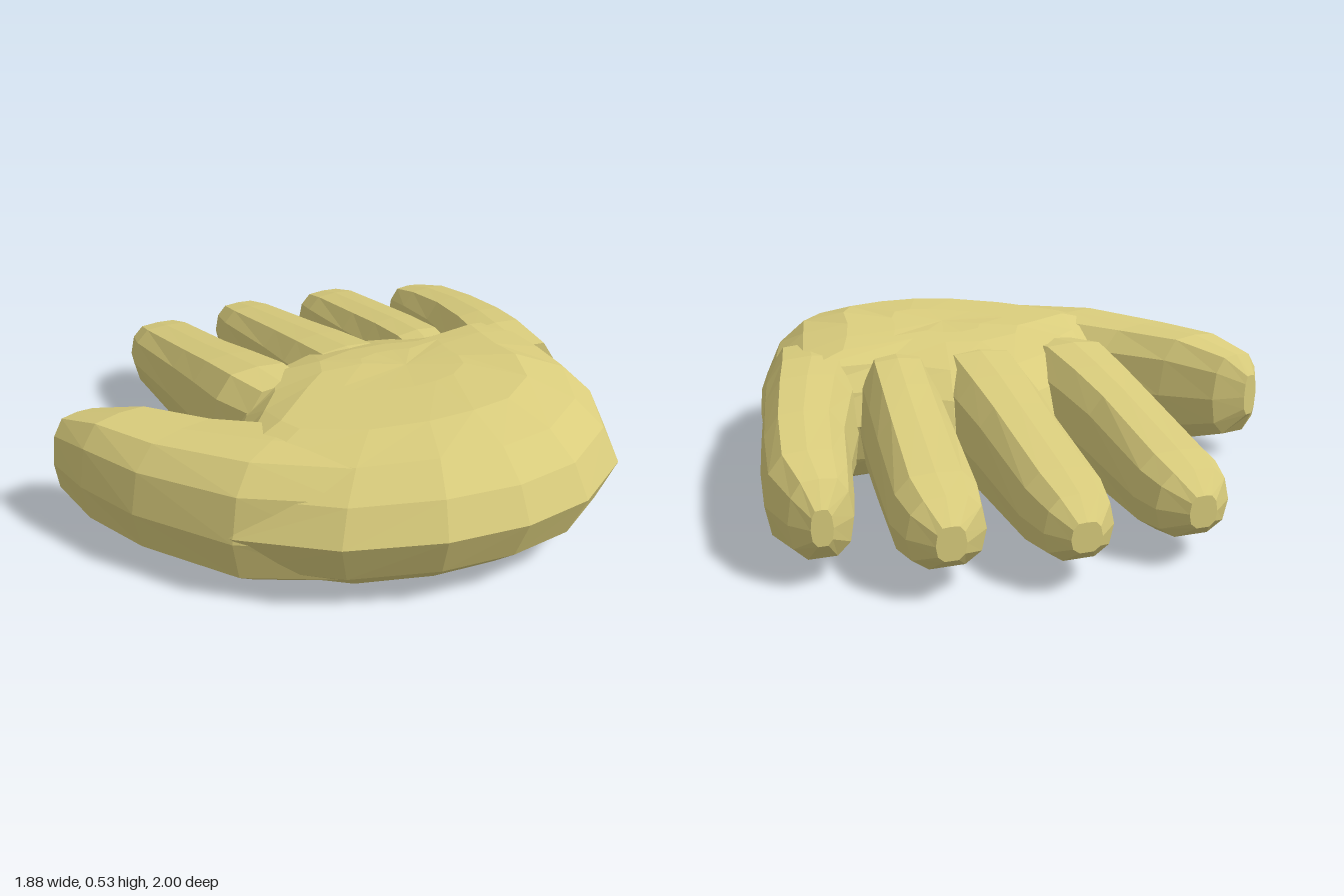
import * as THREE from 'three';

const skin = new THREE.MeshStandardMaterial({ color: 0xd9cc7c, flatShading: true });
skin.name = 'straw yellow';

// piecewise-linear lookup in a list of [position, value]
function lookup(table, p) {
  if (p <= table[0][0]) return table[0][1];
  for (let i = 1; i < table.length; i++) {
    const [p0, v0] = table[i - 1], [p1, v1] = table[i];
    if (p <= p1) return v0 + (v1 - v0) * (p - p0) / (p1 - p0);
  }
  return table[table.length - 1][1];
}

// height of the back of the hand and of its underside
const topLine = [[-1, 0.3], [-0.83, 0.32], [-0.6, 0.36], [-0.3, 0.42], [0, 0.475], [0.2, 0.51], [0.47, 0.54], [0.7, 0.515], [1, 0.49]];
const bottomLine = [[-1, 0.085], [-0.83, 0.08], [-0.4, 0.06], [0, 0.035], [0.4, 0.005], [0.7, 0.015], [1, 0.05]];
const topY = (x, z) => Math.min(lookup(topLine, z), 0.54 - 0.08 * Math.max(0, 0.4 - x));
const bottomY = (z) => lookup(bottomLine, z);

// skin a list of equal-length rings of points and close both ends
function loft(name, rings) {
  const n = rings[0].length, pos = [], index = [];
  rings.forEach((ring) => ring.forEach((p) => pos.push(...p)));
  for (let k = 0; k < rings.length - 1; k++) {
    for (let i = 0; i < n; i++) {
      const j = (i + 1) % n, a = k * n + i, b = k * n + j;
      index.push(a, b, b + n, a, b + n, a + n);
    }
  }
  [0, rings.length - 1].forEach((k) => {
    const centre = [0, 1, 2].map((c) => rings[k].reduce((s, p) => s + p[c], 0) / n);
    const m = pos.length / 3;
    pos.push(...centre);
    for (let i = 0; i < n; i++) {
      const a = k * n + i, b = k * n + (i + 1) % n;
      if (k === 0) index.push(m, b, a);
      else index.push(m, a, b);
    }
  });
  const geometry = new THREE.BufferGeometry();
  geometry.setAttribute('position', new THREE.Float32BufferAttribute(pos, 3));
  geometry.setIndex(index);
  const flat = geometry.toNonIndexed();
  flat.computeVertexNormals();
  const mesh = new THREE.Mesh(flat, skin);
  mesh.name = name;
  return mesh;
}

// rounded finger cross-section between a left and a right edge point
const profile = [[-1, 0.47], [-0.87, 0.8], [-0.55, 0.98], [0, 1], [0.55, 0.98], [0.87, 0.8],
  [1, 0.47], [0.87, 0.16], [0.45, 0], [-0.45, 0], [-0.87, 0.16]];
function section(lx, lz, rx, rz, low, high) {
  return profile.map(([u, v]) => {
    const f = (u + 1) / 2;
    return [lx + (rx - lx) * f, low + (high - low) * v, lz + (rz - lz) * f];
  });
}

// finger from sections of [z, left x, right x, height scale]
function finger(name, rows) {
  return loft(name, rows.map(([z, l, r, s]) => {
    const low = bottomY(z), high = topY((l + r) / 2, z);
    const mid = low + (high - low) * 0.5, half = (high - low) / 2 * s;
    return section(l, z, r, z, mid - half, mid + half);
  }));
}

export function createModel() {
  const hand = new THREE.Group();
  hand.name = 'hand';

  // palm: one outline, drawn in towards the middle above and below the rim
  const outline = [[0.16, 1], [0.4, 0.975], [0.64, 0.84], [0.77, 0.62], [0.82, 0.4], [0.855, 0.15], [0.87, -0.03],
    [0.56, -0.07], [0.27, -0.23], [-0.06, -0.22], [-0.33, -0.06], [-0.41, 0.13], [-0.5, 0.26], [-0.66, 0.48],
    [-0.62, 0.6], [-0.38, 0.83], [-0.1, 0.96]];
  const cx = 0.18, cz = 0.25;
  const levels = [[0.55, 0, 0], [0.3, 0, 0], [0.16, 0, 0.05], [0.06, 0, 0.22], [0, 0, 0.53],
    [0.06, 0, 0.77], [0.16, 0, 0.93], [0.32, 0, 1], [0.32, 0.5, 1]];
  const palmRings = levels.map(([inset, shrink, t]) => outline.map(([x, z]) => {
    const d = Math.hypot(x - cx, z - cz);
    const f = Math.max(0.12, (d - inset) / d) * (1 - shrink);
    const px = cx + (x - cx) * f, pz = cz + (z - cz) * f;
    const low = bottomY(pz);
    return [px, low + (topY(px, pz) - low) * t, pz];
  }));
  hand.add(loft('palm', palmRings));

  // four fingers, knuckle to tip
  hand.add(finger('indexFinger', [[0.14, -0.36, -0.05, 0.85], [0.0, -0.42, -0.06, 0.98], [-0.2, -0.415, -0.09, 1],
    [-0.4, -0.41, -0.115, 1], [-0.78, -0.41, -0.12, 1], [-0.88, -0.385, -0.145, 0.9], [-0.95, -0.31, -0.22, 0.45]]));
  hand.add(finger('middleFinger', [[0.14, -0.06, 0.28, 0.85], [0, -0.07, 0.285, 0.98], [-0.2, -0.06, 0.275, 1],
    [-0.4, -0.04, 0.26, 1], [-0.8, -0.02, 0.25, 1], [-0.93, 0.01, 0.225, 0.88], [-1, 0.075, 0.17, 0.42]]));
  hand.add(finger('ringFinger', [[0.14, 0.25, 0.52, 0.85], [0, 0.26, 0.55, 0.98], [-0.2, 0.285, 0.57, 1],
    [-0.4, 0.305, 0.59, 1], [-0.74, 0.34, 0.62, 1], [-0.85, 0.365, 0.6, 0.9], [-0.925, 0.445, 0.535, 0.45]]));
  hand.add(finger('littleFinger', [[0.3, 0.5, 0.82, 0.8], [0.1, 0.5, 0.86, 0.94], [-0.06, 0.56, 0.885, 0.98],
    [-0.3, 0.635, 0.92, 0.98], [-0.53, 0.675, 0.94, 0.97], [-0.67, 0.705, 0.895, 0.88], [-0.73, 0.775, 0.84, 0.42]]));

  // thumb, from the heel of the palm out to the tip
  hand.add(loft('thumb', [
    section(-0.34, 0.79, 0.0, 0.48, 0.04, 0.46),
    section(-0.62, 0.6, -0.22, 0.34, 0.02, 0.465),
    section(-0.82, 0.3, -0.42, 0.19, 0.03, 0.45),
    section(-0.91, 0.08, -0.59, 0.01, 0.045, 0.445),
    section(-0.945, -0.09, -0.74, -0.13, 0.1, 0.4),
    section(-0.91, -0.145, -0.85, -0.168, 0.18, 0.33),
  ]));
  return hand;
}
